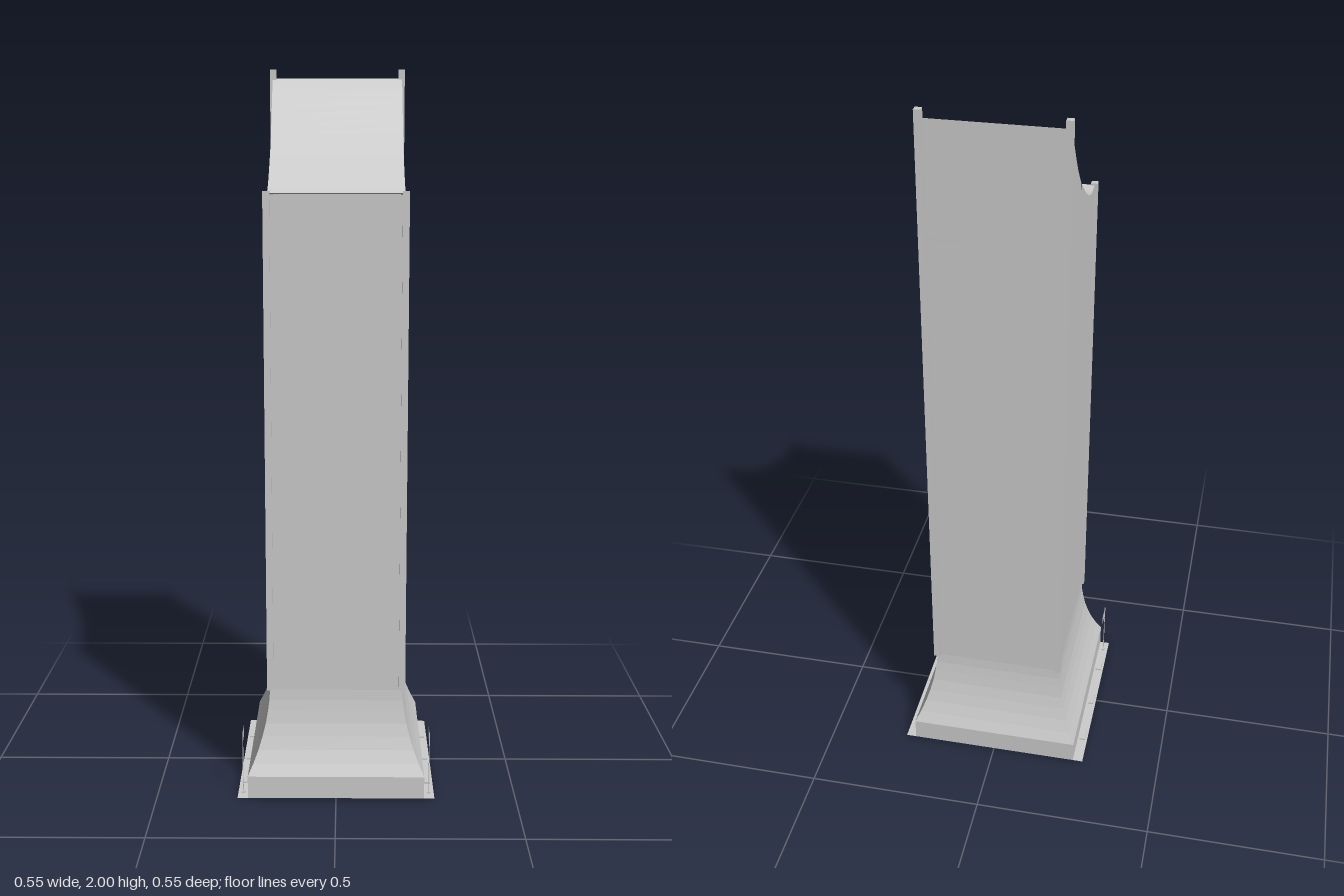
import * as THREE from 'three';

export function createModel() {
  const group = new THREE.Group();
  const grey = new THREE.MeshStandardMaterial({ color: 0xcccccc, side: THREE.DoubleSide, flatShading: true });
  grey.name = 'plain grey metal';

  const add = (name, geometry, x = 0, y = 0, z = 0) => {
    const mesh = new THREE.Mesh(geometry, grey);
    mesh.name = name;
    mesh.position.set(x, y, z);
    group.add(mesh);
    return mesh;
  };

  // Joins equal-length cross-sections with flat quads
  const loft = (sections, closed) => {
    const n = sections[0].length, pos = [];
    for (let i = 0; i < sections.length - 1; i++) {
      for (let j = 0; j < (closed ? n : n - 1); j++) {
        const k = (j + 1) % n;
        const a = sections[i][j], b = sections[i][k], c = sections[i + 1][k], d = sections[i + 1][j];
        pos.push(...a, ...b, ...c, ...a, ...c, ...d);
      }
    }
    const geometry = new THREE.BufferGeometry();
    geometry.setAttribute('position', new THREE.Float32BufferAttribute(pos, 3));
    geometry.computeVertexNormals();
    return geometry;
  };

  const W = 0.184, D = 0.213, footTop = 0.3, frontTop = 1.665, backTop = 1.975;

  // Flared foot: height and outward spread
  const flare = [[0.005, 0.061], [0.068, 0.061], [0.1, 0.046], [0.135, 0.032], [0.17, 0.021],
    [0.205, 0.012], [0.24, 0.006], [0.27, 0.002], [footTop, 0]];
  add('flaredFoot', loft(flare.map(([y, s]) =>
    [[1, 1], [1, -1], [-1, -1], [-1, 1]].map(([x, z]) => [x * (W + s), y, z * (D + s)])), true));

  // Concave top outline in (z, y), front to back
  const lower = new THREE.SplineCurve([[0.205, 1.665], [0.17, 1.661], [0.13, 1.667], [0.08, 1.69],
    [0.03, 1.723], [-0.02, 1.76]].map(p => new THREE.Vector2(...p))).getPoints(12);
  const upper = new THREE.SplineCurve([[-0.04, 1.777], [-0.08, 1.818], [-0.12, 1.868], [-0.16, 1.923],
    [-0.18, 1.95], [-0.208, backTop]].map(p => new THREE.Vector2(...p))).getPoints(10);
  add('scoopedTop', loft([...lower, ...upper].map(p => [[-W, p.y, p.x], [W, p.y, p.x]]), false));

  // Side panels with the scooped edge, a notch and two cut-outs
  const side = new THREE.Shape([
    new THREE.Vector2(-D, footTop), new THREE.Vector2(D, footTop), new THREE.Vector2(D, frontTop),
    ...lower, new THREE.Vector2(-0.028, 1.743), ...upper, new THREE.Vector2(-D, backTop),
  ]);
  const lens = new THREE.Path();
  lens.absellipse(-0.175, 1.808, 0.021, 0.098, 0, Math.PI * 2);
  const drop = new THREE.Path([[-0.018, 1.7], [-0.017, 1.672], [-0.021, 1.652], [-0.028, 1.657],
    [-0.027, 1.675]].map(p => new THREE.Vector2(...p)));
  side.holes.push(lens, drop);
  const sideGeometry = new THREE.ShapeGeometry(side, 16);
  sideGeometry.rotateY(-Math.PI / 2);
  for (const s of [1, -1]) add(s > 0 ? 'leftPanel' : 'rightPanel', sideGeometry, s * W);

  // Front panel, and back panel split by a narrow seam
  const panel = (name, y0, y1, z) =>
    add(name, new THREE.PlaneGeometry(W * 2, y1 - y0), 0, (y0 + y1) / 2, z).rotateY(z < 0 ? Math.PI : 0);
  panel('frontPanel', footTop, 1.66, D);
  panel('lowerBackPanel', footTop, 1.66, -D);
  panel('upperBackPanel', 1.664, backTop, -0.208);

  for (const s of [1, -1]) {
    // Corner strips
    for (const [name, top, z] of [['frontCornerStrip', 1.67, 0.211], ['backCornerStrip', 2, -0.213]]) {
      add(name, new THREE.BoxGeometry(0.018, top - footTop, 0.018), s * 0.183, (top + footTop) / 2, z);
    }

    // Ground flange with its raised pads
    const flange = new THREE.PlaneGeometry(0.03, 0.548);
    flange.rotateX(-Math.PI / 2);
    add('flange', flange, s * 0.259, 0.005, 0);
    for (const z of [-0.162, -0.002, 0.158]) {
      add('flangePad', new THREE.BoxGeometry(0.016, 0.01, 0.045), s * 0.259, 0.005, z);
    }

    // Small marker flag on a thin pole
    add('flagFoot', new THREE.BoxGeometry(0.01, 0.01, 0.01), s * 0.26, 0.005, 0.239);
    add('flagPole', new THREE.CylinderGeometry(0.0012, 0.0012, 0.18, 6), s * 0.26, 0.095, 0.239);
    const flag = new THREE.PlaneGeometry(0.052, 0.032);
    flag.rotateY(Math.PI / 2);
    add('flag', flag, s * 0.26, 0.17, 0.215);
  }

  return group;
}
